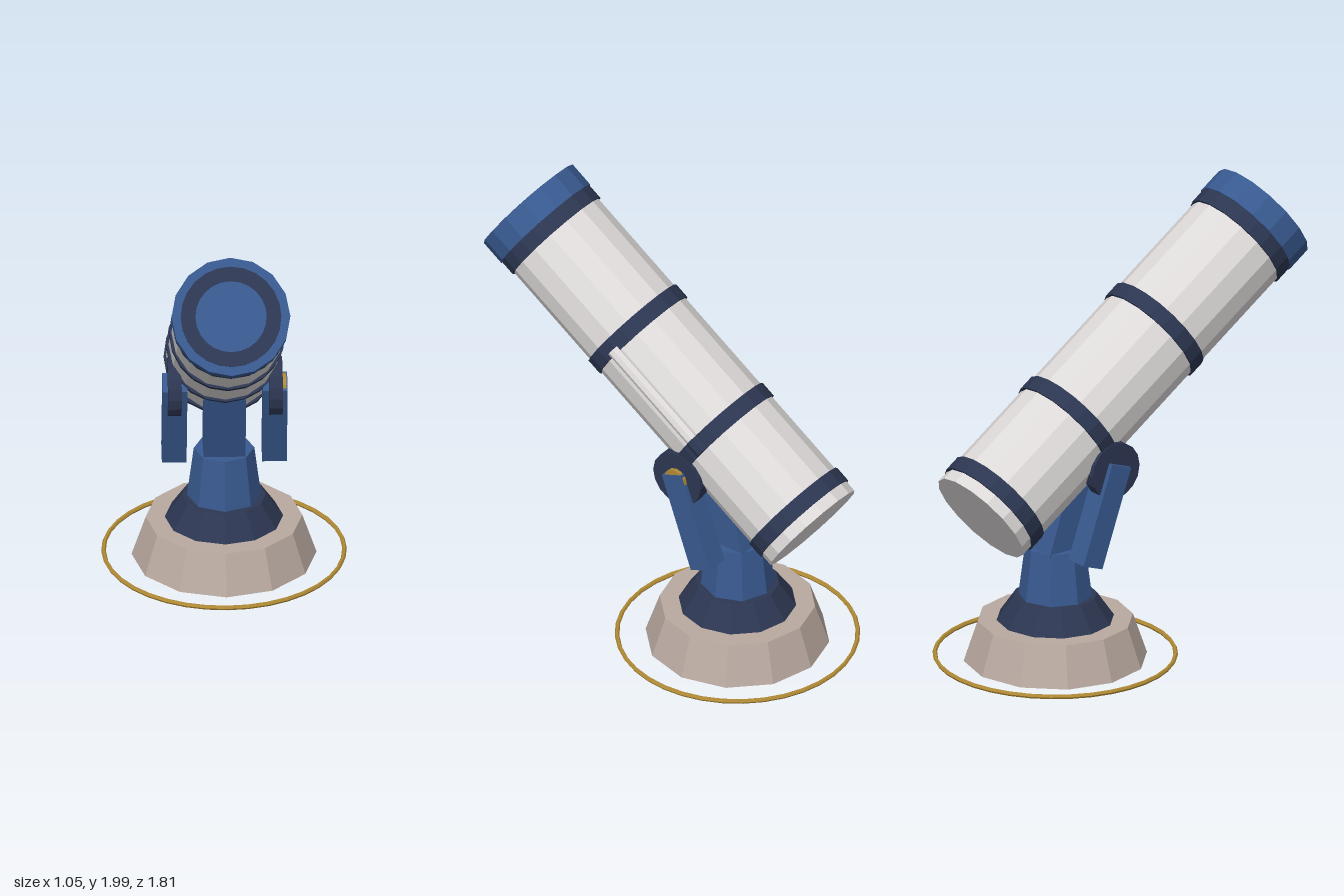
import * as THREE from 'three';

const mat = (name, color) => {
  const m = new THREE.MeshStandardMaterial({ color });
  m.name = name;
  return m;
};

export function createModel() {
  const white = mat('tubeWhite', 0xdcd9d8);
  const navy = mat('darkNavy', 0x2c3651);
  const blue = mat('blue', 0x38598f);
  const stone = mat('stone', 0xb9a9a0);
  const gold = mat('gold', 0xb08a35);

  // Adds a flat-faceted mesh to a parent
  const add = (parent, name, geometry, material, x = 0, y = 0, z = 0) => {
    const flat = geometry.index ? geometry.toNonIndexed() : geometry;
    flat.computeVertexNormals();
    const mesh = new THREE.Mesh(flat, material);
    mesh.name = name;
    mesh.position.set(x, y, z);
    parent.add(mesh);
    return mesh;
  };
  // Cylinder spanning y0..y1
  const drum = (parent, name, material, rTop, rBottom, y0, y1, sides, x = 0, z = 0) =>
    add(parent, name, new THREE.CylinderGeometry(rTop, rBottom, y1 - y0, sides), material, x, (y0 + y1) / 2, z);

  const model = new THREE.Group();
  model.name = 'telescope';

  // Stand: foot, collar, column and floor ring
  const stand = new THREE.Group();
  stand.name = 'stand';
  stand.position.z = -0.365;
  model.add(stand);
  drum(stand, 'foot', stone, 0.336, 0.397, 0, 0.18, 12);
  drum(stand, 'collar', navy, 0.18, 0.254, 0.18, 0.287, 12);
  drum(stand, 'column', blue, 0.13, 0.159, 0.287, 0.515, 8);
  const floorRing = new THREE.TorusGeometry(0.517, 0.01, 6, 36).rotateX(Math.PI / 2);
  add(stand, 'floorRing', floorRing, gold, 0, 0.015, 0);

  // Leaning mount: centre block, two side arms and pivot discs
  const mount = new THREE.Group();
  mount.name = 'mount';
  model.add(mount);
  const block = add(mount, 'centreBlock', new THREE.BoxGeometry(0.18, 0.5, 0.17), blue, 0, 0.71, -0.305);
  block.rotation.x = 0.33;
  for (const side of [-1, 1]) {
    const arm = add(mount, 'sideArm', new THREE.BoxGeometry(0.106, 0.459, 0.109), blue, side * 0.215, 0.706, -0.29);
    arm.rotation.x = 0.348;
    const disc = new THREE.CylinderGeometry(0.127, 0.127, 0.058, 16).rotateZ(Math.PI / 2);
    add(mount, 'pivotDisc', disc, navy, side * 0.217, 0.895, -0.225);
  }
  const bolt = new THREE.CylinderGeometry(0.055, 0.055, 0.03, 12).rotateZ(Math.PI / 2);
  add(mount, 'pivotBolt', bolt, gold, 0.248, 0.895, -0.225);

  // Optical tube, built upright from its rear end and then tilted
  const tube = new THREE.Group();
  tube.name = 'opticalTube';
  tube.position.set(0, 0.734, -0.77);
  tube.rotation.x = Math.PI / 2 - 0.6;
  model.add(tube);
  drum(tube, 'barrel', white, 0.241, 0.241, 0, 1.75, 16);
  for (const y of [0.09, 0.576, 1.14, 1.708]) {
    drum(tube, 'band', navy, 0.25, 0.25, y - 0.036, y + 0.036, 20);
  }
  drum(tube, 'frontCap', blue, 0.255, 0.255, 1.742, 1.857, 16);
  drum(tube, 'lensRim', navy, 0.216, 0.216, 1.856, 1.861, 24);
  drum(tube, 'lens', blue, 0.153, 0.153, 1.86, 1.865, 24);

  // Slim finder rod clipped to the side
  drum(tube, 'finderRod', white, 0.03, 0.03, 0.576, 1.125, 8, 0.234, -0.06);
  drum(tube, 'finderClip', navy, 0.037, 0.037, 0.54, 0.61, 8, 0.234, -0.063);

  return model;
}
